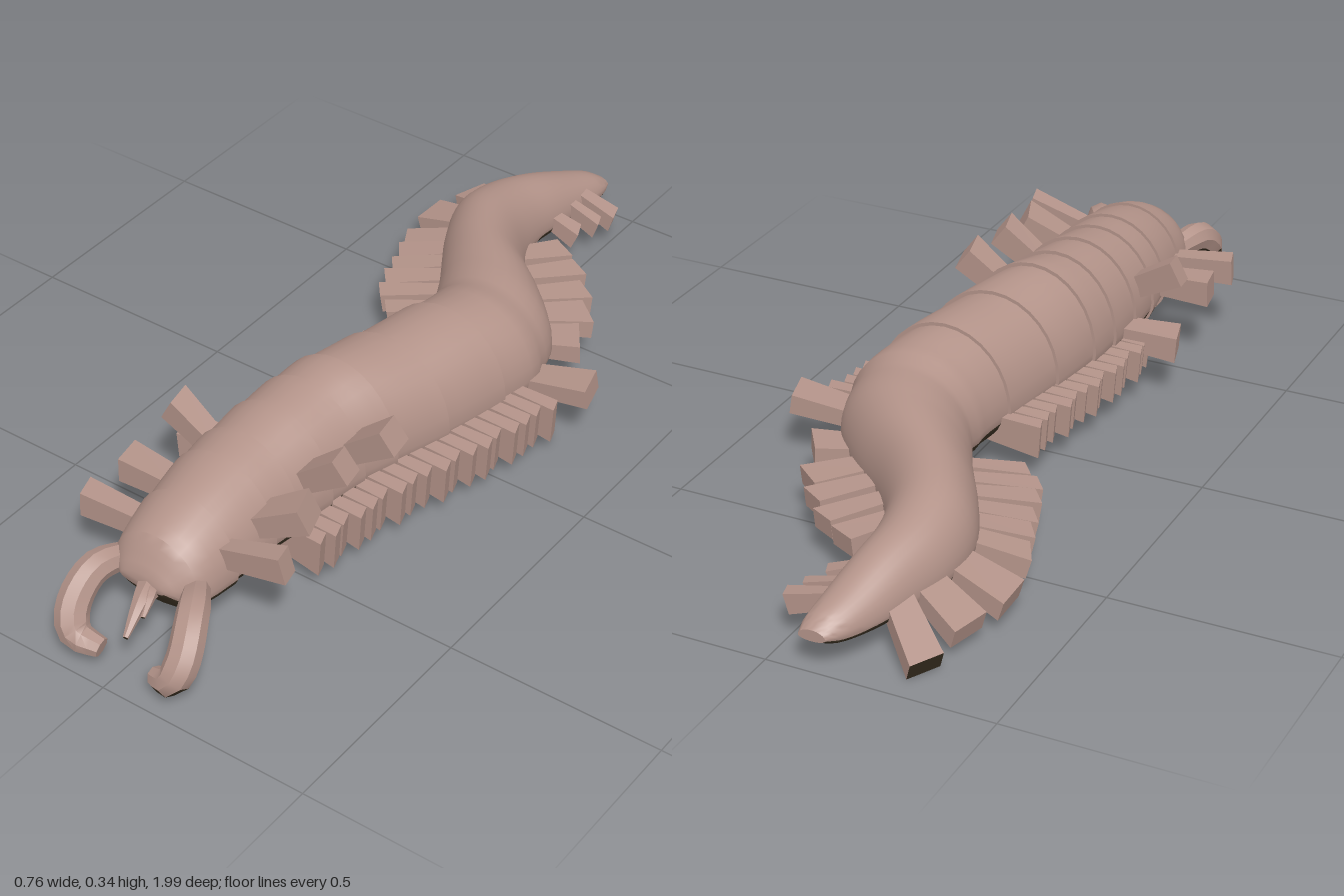
import * as THREE from 'three';
import { toCreasedNormals } from 'three/addons/utils/BufferGeometryUtils.js';

const V = (x, y, z) => new THREE.Vector3(x, y, z);
const skin = new THREE.MeshStandardMaterial({ color: 0xb39389 });
skin.name = 'dusty pink skin';
const underside = new THREE.MeshStandardMaterial({ color: 0x3a3022 });
underside.name = 'dark brown underside';

// Body stations, head to tail: z, left edge x, right edge x, top y, bottom y
const stations = [
  [0.845, -0.09, 0.06, 0.20, 0.15], [0.80, -0.125, 0.10, 0.265, 0.09],
  [0.70, -0.145, 0.115, 0.30, 0.075], [0.58, -0.16, 0.12, 0.32, 0.07],
  [0.50, -0.165, 0.122, 0.325, 0.065], [0.40, -0.165, 0.13, 0.335, 0.06],
  [0.30, -0.16, 0.14, 0.34, 0.055], [0.21, -0.15, 0.16, 0.345, 0.05],
  [0.07, -0.125, 0.195, 0.33, 0.05], [-0.10, -0.09, 0.225, 0.32, 0.045],
  [-0.22, -0.075, 0.235, 0.30, 0.05], [-0.32, -0.11, 0.205, 0.288, 0.05],
  [-0.40, -0.155, 0.135, 0.28, 0.05], [-0.50, -0.215, 0.02, 0.265, 0.05],
  [-0.60, -0.257, -0.05, 0.25, 0.05], [-0.70, -0.257, -0.075, 0.225, 0.05],
  [-0.80, -0.23, -0.072, 0.197, 0.05], [-0.90, -0.195, -0.067, 0.157, 0.055],
  [-0.97, -0.16, -0.067, 0.127, 0.065], [-1.0, -0.135, -0.075, 0.105, 0.08],
];
const LAST = stations.length - 1;
const WAIST = 10; // ringed plates end here, smooth tail begins

// x of the body edge at a given z
function edge(z, side) {
  const col = side < 0 ? 1 : 2;
  let i = 0;
  while (i < LAST - 1 && stations[i + 1][0] > z) i++;
  const a = stations[i], b = stations[i + 1];
  return THREE.MathUtils.lerp(a[col], b[col], THREE.MathUtils.clamp((a[0] - z) / (a[0] - b[0]), 0, 1));
}

// Sort triangles into two groups: skin, and dark underside where they face down
function splitUnderside(g) {
  const p = g.attributes.position, tri = new THREE.Triangle(), n = V(0, 0, 0);
  const upper = [], lower = [];
  for (let i = 0; i < p.count; i += 3) {
    tri.setFromAttributeAndIndices(p, i, i + 1, i + 2).getNormal(n);
    (n.y < -0.4 ? lower : upper).push(i, i + 1, i + 2);
  }
  g.setIndex([...upper, ...lower]);
  g.clearGroups();
  g.addGroup(0, upper.length, 0);
  g.addGroup(upper.length, lower.length, 1);
  return g;
}

// Skin a list of equal-length point rings
function loft(rings, crease) {
  const n = rings[0].length, index = [];
  for (let i = 0; i < rings.length - 1; i++) {
    for (let j = 0; j < n; j++) {
      const k = (j + 1) % n, a = i * n, b = a + n;
      index.push(a + j, b + j, a + k, a + k, b + j, b + k);
    }
  }
  const g = new THREE.BufferGeometry().setFromPoints(rings.flat());
  g.setIndex(index);
  return toCreasedNormals(g, crease);
}

function bodyGeometry() {
  const plan = new THREE.CatmullRomCurve3(stations.map(s => V((s[1] + s[2]) / 2, (s[2] - s[1]) / 2, s[0])));
  const side = new THREE.CatmullRomCurve3(stations.map(s => V(s[3], s[4], s[0])));
  const N = 32, K = 4;
  const ring = (t, scale) => {
    const p = plan.getPoint(t), q = side.getPoint(t);
    const mid = q.y + (q.x - q.y) * 0.36;
    return Array.from({ length: N }, (_, j) => {
      const a = j / N * Math.PI * 2, s = Math.sin(a);
      return V(p.x + p.y * scale * Math.cos(a), mid + s * scale * (s > 0 ? q.x - mid : mid - q.y), p.z);
    });
  };
  const rings = [ring(0, 0), ring(0, 0.75)];
  for (let i = 0; i < LAST; i++) {
    const plated = i > 0 && i < WAIST;
    for (let k = plated ? 0 : 1; k <= K; k++) {
      const u = k / K;
      // each plate flares towards its rear rim, then steps in
      const scale = plated ? 0.97 + 0.045 * u : i === WAIST ? 0.95 + 0.05 * u : i === 0 ? 0.75 + 0.23 * Math.sqrt(u) : 1;
      rings.push(ring((i + u) / LAST, scale));
    }
  }
  rings.push(ring(1, 0));
  return loft(rings, 0.7);
}

// Tapered tube with a low-sided cross-section
function sweep(points, radii, sides) {
  const curve = new THREE.CatmullRomCurve3(points), S = 14;
  const f = curve.computeFrenetFrames(S, false), rings = [];
  for (let i = 0; i <= S; i++) {
    const x = i / S * (radii.length - 1), j = Math.min(Math.floor(x), radii.length - 2);
    const r = THREE.MathUtils.lerp(radii[j], radii[j + 1], x - j);
    const c = curve.getPointAt(i / S);
    const ring = s => Array.from({ length: sides }, (_, k) => {
      const a = -k / sides * Math.PI * 2;
      return c.clone().addScaledVector(f.normals[i], s * Math.cos(a)).addScaledVector(f.binormals[i], s * Math.sin(a));
    });
    if (i === 0) rings.push(ring(0));
    rings.push(ring(r));
    if (i === S) rings.push(ring(0));
  }
  return loft(rings, 0.7);
}

// Flat leg from root to tip, a little narrower at the root
function bladeGeometry(root, tip, width, thick) {
  const g = new THREE.BoxGeometry(width, thick, root.distanceTo(tip)).toNonIndexed();
  const p = g.attributes.position;
  for (let i = 0; i < p.count; i++) {
    if (p.getZ(i) < 0) p.setXYZ(i, p.getX(i) * 0.75, p.getY(i) * 0.8, p.getZ(i));
    else if (p.getX(i) > 0) p.setZ(i, p.getZ(i) - 0.012);
  }
  const pose = new THREE.Object3D();
  pose.position.copy(root).lerp(tip, 0.5);
  pose.lookAt(tip);
  pose.updateMatrix();
  g.applyMatrix4(pose.matrix);
  g.computeVertexNormals();
  return g;
}

export function createModel() {
  const model = new THREE.Group();
  model.name = 'crawler';
  const add = (name, geometry, parent = model) => {
    const m = new THREE.Mesh(splitUnderside(geometry), [skin, underside]);
    m.name = name;
    parent.add(m);
  };
  const group = name => {
    const g = new THREE.Group();
    g.name = name;
    model.add(g);
    return g;
  };

  add('body', bodyGeometry());

  // Front legs: side, root z, root y, tip x, y, z, width
  const front = group('frontLegs');
  [
    [1, 0.71, 0.2, 0.25, 0.25, 0.705, 0.05], [1, 0.60, 0.21, 0.205, 0.275, 0.57, 0.085],
    [1, 0.45, 0.22, 0.20, 0.305, 0.44, 0.065], [1, 0.31, 0.21, 0.22, 0.30, 0.30, 0.075],
    [-1, 0.70, 0.17, -0.28, 0.18, 0.715, 0.055], [-1, 0.58, 0.18, -0.28, 0.185, 0.58, 0.07],
    [-1, 0.46, 0.21, -0.25, 0.28, 0.455, 0.06], [-1, 0.37, 0.14, -0.28, 0.13, 0.39, 0.08],
  ].forEach(([s, z, y, tx, ty, tz, w]) =>
    add('frontLeg', bladeGeometry(V(edge(z, s) - s * 0.04, y, z), V(tx, ty, tz), w, 0.06), front));

  // Fringe of short upright leg plates along the middle
  const fringe = group('legFringe');
  for (let i = 0; i < 18; i++) {
    const z = 0.5 - i * 0.038, wob = 0.008 * Math.sin(i * 2.3);
    const e = edge(z, 1);
    add('fringeLeg', bladeGeometry(V(e - 0.06, 0.105, z), V(e + 0.06 + i * 0.002 + wob, 0.095, z), 0.035, 0.09), fringe);
    if (i > 2 && i < 17) {
      const l = edge(z, -1);
      add('fringeLeg', bladeGeometry(V(l + 0.06, 0.11, z), V(l - 0.045 - i * 0.002 + wob, 0.10, z), 0.035, 0.075), fringe);
    }
  }

  // Rear legs fanning around the bent tail: root x, z, tip x, y, z, width
  const rear = group('rearLegs');
  [
    [0.18, -0.21, 0.37, 0.145, -0.235, 0.085], [0.12, -0.33, 0.24, 0.12, -0.39, 0.09],
    [0.08, -0.40, 0.19, 0.10, -0.50, 0.085], [0.03, -0.45, 0.14, 0.10, -0.57, 0.07],
    [-0.02, -0.51, 0.08, 0.10, -0.635, 0.065], [-0.08, -0.56, 0.01, 0.10, -0.68, 0.07],
    [-0.10, -0.77, -0.02, 0.08, -0.78, 0.04], [-0.10, -0.84, 0.0, 0.08, -0.84, 0.03],
    [-0.10, -0.89, 0.015, 0.08, -0.89, 0.04],
    [-0.17, -0.80, -0.31, 0.03, -0.92, 0.075], [-0.18, -0.73, -0.345, 0.055, -0.80, 0.09],
    [-0.2, -0.65, -0.375, 0.06, -0.67, 0.095], [-0.2, -0.58, -0.345, 0.07, -0.53, 0.07],
    [-0.18, -0.53, -0.32, 0.08, -0.465, 0.065], [-0.16, -0.48, -0.30, 0.08, -0.41, 0.06],
    [-0.13, -0.43, -0.28, 0.09, -0.35, 0.06], [-0.10, -0.38, -0.26, 0.09, -0.30, 0.055],
    [-0.06, -0.33, -0.21, 0.09, -0.255, 0.05],
  ].forEach(([x, z, tx, ty, tz, w]) => add('rearLeg', bladeGeometry(V(x, 0.115, z), V(tx, ty, tz), w, 0.045), rear));

  // Curled pincers either side of the mouth
  const radii = [0.026, 0.034, 0.036, 0.037, 0.022];
  add('rightPincer', sweep([V(-0.095, 0.165, 0.78), V(-0.122, 0.17, 0.87), V(-0.122, 0.115, 0.94),
    V(-0.10, 0.075, 0.96), V(-0.04, 0.06, 0.952)], radii, 8));
  add('leftPincer', sweep([V(0.075, 0.165, 0.78), V(0.132, 0.17, 0.87), V(0.157, 0.115, 0.935),
    V(0.145, 0.075, 0.96), V(0.10, 0.06, 0.952)], radii, 8));

  // Small forked feeler at the mouth
  add('mouthFeeler', sweep([V(-0.01, 0.155, 0.82), V(0.008, 0.155, 0.88), V(0.025, 0.12, 0.95)], [0.03, 0.016, 0.006], 6));
  add('mouthFeeler', sweep([V(-0.01, 0.155, 0.82), V(0.015, 0.16, 0.86), V(0.03, 0.14, 0.90)], [0.02, 0.014, 0.005], 6));

  // Low nub beneath the belly
  add('bellyNub', bladeGeometry(V(0.14, 0.08, -0.08), V(0.14, 0.025, -0.09), 0.06, 0.06));
  return model;
}
